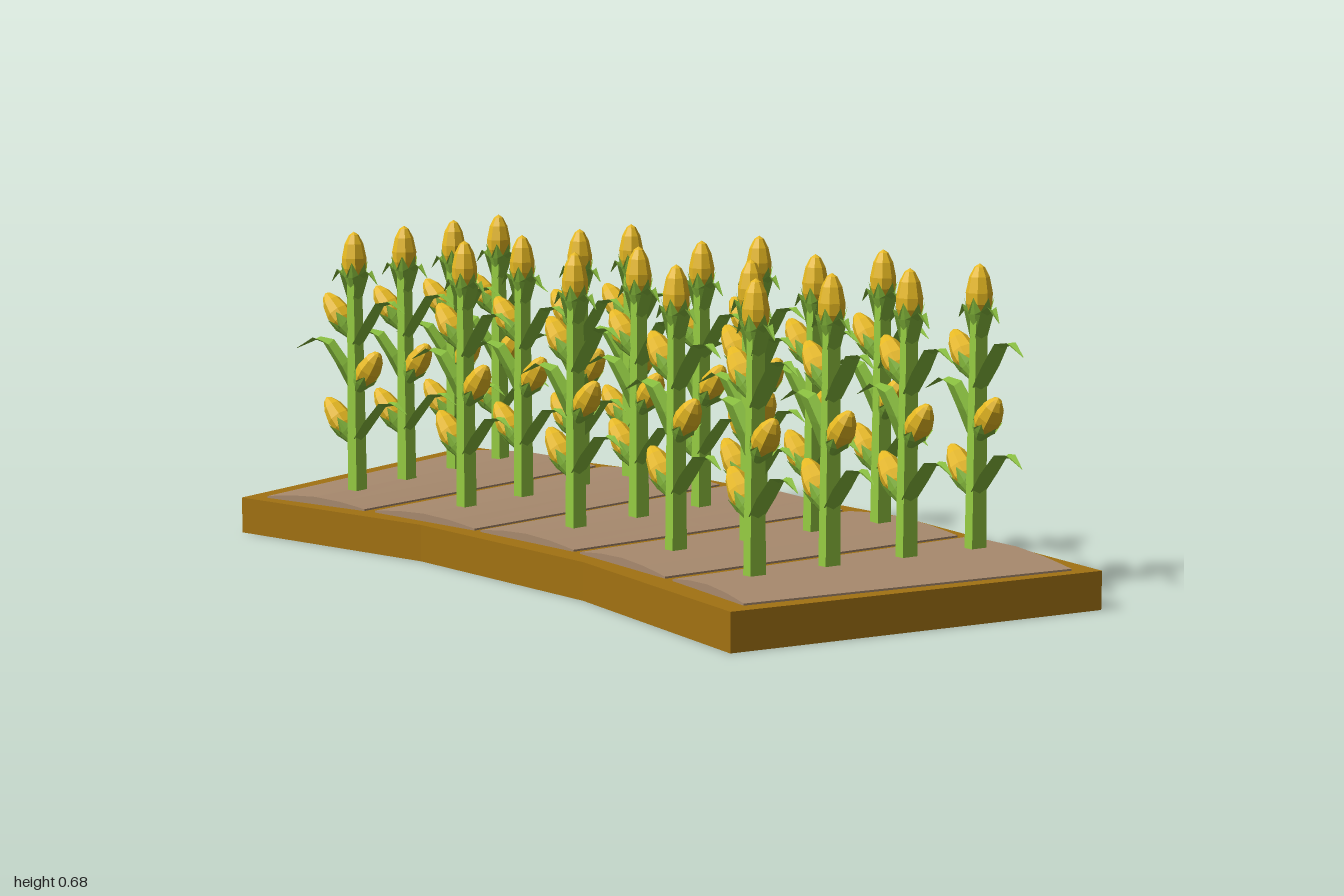
import * as THREE from 'three';

const mat = (color, side = THREE.FrontSide) =>
  new THREE.MeshStandardMaterial({ color, flatShading: true, side });
const wood = mat(0xa27212);
const soil = mat(0xa88a6e);
const stalkGreen = mat(0x96cc42);
const leafGreen = mat(0x86bb3c, THREE.DoubleSide);
const cornYellow = mat(0xe8ba22);

// Curved planter outline as [x, z]
const OUTLINE = [
  [-0.24, -0.975], [0.61, -1], [0.57, -0.3], [0.41, 0.36],
  [0.135, 0.99], [-0.61, 0.595], [-0.39, 0.09], [-0.265, -0.435],
];

// Each bed: back-left, back-right, front-right, front-left corners as [x, z]
const BEDS = [
  [[-0.21, -0.925], [0.55, -0.95], [0.545, -0.56], [-0.21, -0.64]],
  [[-0.21, -0.61], [0.54, -0.54], [0.5, -0.175], [-0.25, -0.3]],
  [[-0.255, -0.28], [0.49, -0.155], [0.39, 0.225], [-0.315, 0.01]],
  [[-0.325, 0.035], [0.385, 0.245], [0.275, 0.58], [-0.43, 0.32]],
  [[-0.44, 0.345], [0.265, 0.6], [0.1, 0.94], [-0.55, 0.585]],
];

// Each row of plants: turn in degrees, then [x, z] of every plant
const ROWS = [
  [0, [[-0.08, -0.77], [0.095, -0.77], [0.275, -0.77], [0.445, -0.77]]],
  [-9, [[-0.1, -0.44], [0.073, -0.415], [0.26, -0.395], [0.425, -0.37]]],
  [-12.5, [[-0.157, -0.1], [0.017, -0.06], [0.197, -0.02], [0.363, 0.02]]],
  [-18, [[-0.24, 0.215], [-0.072, 0.285], [0.095, 0.335], [0.26, 0.4]]],
  [-23, [[-0.36, 0.485], [-0.195, 0.555], [-0.03, 0.635], [0.128, 0.705]]],
];

// Flat-shaded surface from a grid of points
function gridGeometry(rows) {
  const pos = [];
  for (let i = 0; i < rows.length - 1; i++) {
    for (let j = 0; j < rows[i].length - 1; j++) {
      const a = rows[i][j], b = rows[i][j + 1], c = rows[i + 1][j], d = rows[i + 1][j + 1];
      pos.push(...a, ...b, ...c, ...b, ...d, ...c);
    }
  }
  const g = new THREE.BufferGeometry();
  g.setAttribute('position', new THREE.Float32BufferAttribute(pos, 3));
  g.computeVertexNormals();
  return g;
}

// Soil arched from back to front, with upright ends
function bedGeometry([bl, br, fr, fl]) {
  const us = [0, 0, 0.5, 1, 1];
  const vs = [0, 0, 0.1, 0.25, 0.5, 0.75, 0.9, 1, 1];
  return gridGeometry(us.map((u, i) => vs.map((v, j) => {
    const rim = i === 0 || i === us.length - 1 || j === 0 || j === vs.length - 1;
    const mix = (k) => (1 - v) * ((1 - u) * bl[k] + u * br[k]) + v * ((1 - u) * fl[k] + u * fr[k]);
    return [mix(0), rim ? 0.075 : 0.084 + 0.013 * Math.sin(Math.PI * v), mix(1)];
  })));
}

// Folded leaf strip along a path of [z, y, half width]
function leafGeometry(path) {
  return gridGeometry(path.map(([z, y, w]) => [
    [-w, y, z], [0, y - w * 0.5, z], [w, y, z],
  ]));
}

const LEAVES = [
  ['lowerFrontLeaf', [[0.008, 0.215, 0.02], [0.04, 0.255, 0.023], [0.08, 0.3, 0.019], [0.11, 0.303, 0.012], [0.147, 0.28, 0.001]]],
  ['upperFrontLeaf', [[0.008, 0.43, 0.02], [0.04, 0.475, 0.023], [0.075, 0.525, 0.019], [0.105, 0.53, 0.012], [0.145, 0.505, 0.001]]],
  ['backLeaf', [[-0.008, 0.335, 0.02], [-0.04, 0.385, 0.023], [-0.08, 0.43, 0.02], [-0.115, 0.435, 0.013], [-0.175, 0.405, 0.001]]],
  ['frontHuskLeaf', [[0.008, 0.53, 0.016], [0.028, 0.585, 0.017], [0.042, 0.595, 0.011], [0.066, 0.565, 0.001]]],
  ['backHuskLeaf', [[-0.008, 0.53, 0.016], [-0.028, 0.585, 0.017], [-0.042, 0.595, 0.011], [-0.066, 0.565, 0.001]]],
].map(([name, path]) => [name, leafGeometry(path)]);

// Ears: name, base z, base y, tilt, length scale
const EARS = [
  ['topEar', 0, 0.563, 0, 1],
  ['upperBackEar', -0.014, 0.455, -0.72, 0.93],
  ['middleFrontEar', 0.012, 0.335, 0.62, 0.82],
  ['lowerBackEar', -0.014, 0.215, -0.72, 0.96],
];
const earGeo = new THREE.LatheGeometry(
  [[0, 0], [0.016, 0.002], [0.028, 0.035], [0.029, 0.058], [0.022, 0.09], [0.011, 0.11], [0, 0.117]]
    .map(([r, y]) => new THREE.Vector2(r, y)), 8);

// Open green cup with six pointed tips around the bottom of an ear
const huskGeo = gridGeometry(Array.from({ length: 13 }, (_, i) => {
  const a = (i / 12) * Math.PI * 2;
  const tip = i % 2 ? 0.05 : 0.022;
  const ring = (r, y) => [r * Math.cos(a), y, r * Math.sin(a)];
  return [ring(0.012, -0.015), ring(0.024, 0.015), ring(i % 2 ? 0.033 : 0.028, tip)];
}));

// Square tapering stalk, wider across than deep
const stalkGeo = new THREE.CylinderGeometry(0.02, 0.026, 0.5, 4, 1)
  .rotateY(Math.PI / 4).scale(1, 1, 0.7).translate(0, 0.33, 0);

function add(parent, name, geometry, material) {
  const mesh = new THREE.Mesh(geometry, material);
  mesh.name = name;
  parent.add(mesh);
  return mesh;
}

function cornPlant() {
  const plant = new THREE.Group();
  plant.name = 'cornPlant';
  add(plant, 'stalk', stalkGeo, stalkGreen);
  for (const [name, geometry] of LEAVES) add(plant, name, geometry, leafGreen);
  for (const [name, z, y, tilt, size] of EARS) {
    const ear = new THREE.Group();
    ear.name = name;
    add(ear, 'kernels', earGeo, cornYellow);
    add(ear, 'husk', huskGeo, leafGreen);
    ear.position.set(0, y, z);
    ear.rotation.x = tilt;
    ear.scale.set(0.95, size, 0.95);
    plant.add(ear);
  }
  return plant;
}

export function createModel() {
  const model = new THREE.Group();
  model.name = 'cornField';

  // Wooden base
  const shape = new THREE.Shape(OUTLINE.map(([x, z]) => new THREE.Vector2(x, -z)));
  const base = new THREE.ExtrudeGeometry(shape, { depth: 0.08, bevelEnabled: false });
  add(model, 'woodenBase', base.rotateX(-Math.PI / 2), wood);

  // Soil beds
  for (const bed of BEDS) add(model, 'soilBed', bedGeometry(bed), soil);

  // Rows of corn, turned to follow the curve
  for (const [turn, spots] of ROWS) {
    for (const [x, z] of spots) {
      const plant = cornPlant();
      plant.position.set(x, 0, z);
      plant.rotation.y = THREE.MathUtils.degToRad(turn);
      model.add(plant);
    }
  }
  return model;
}
